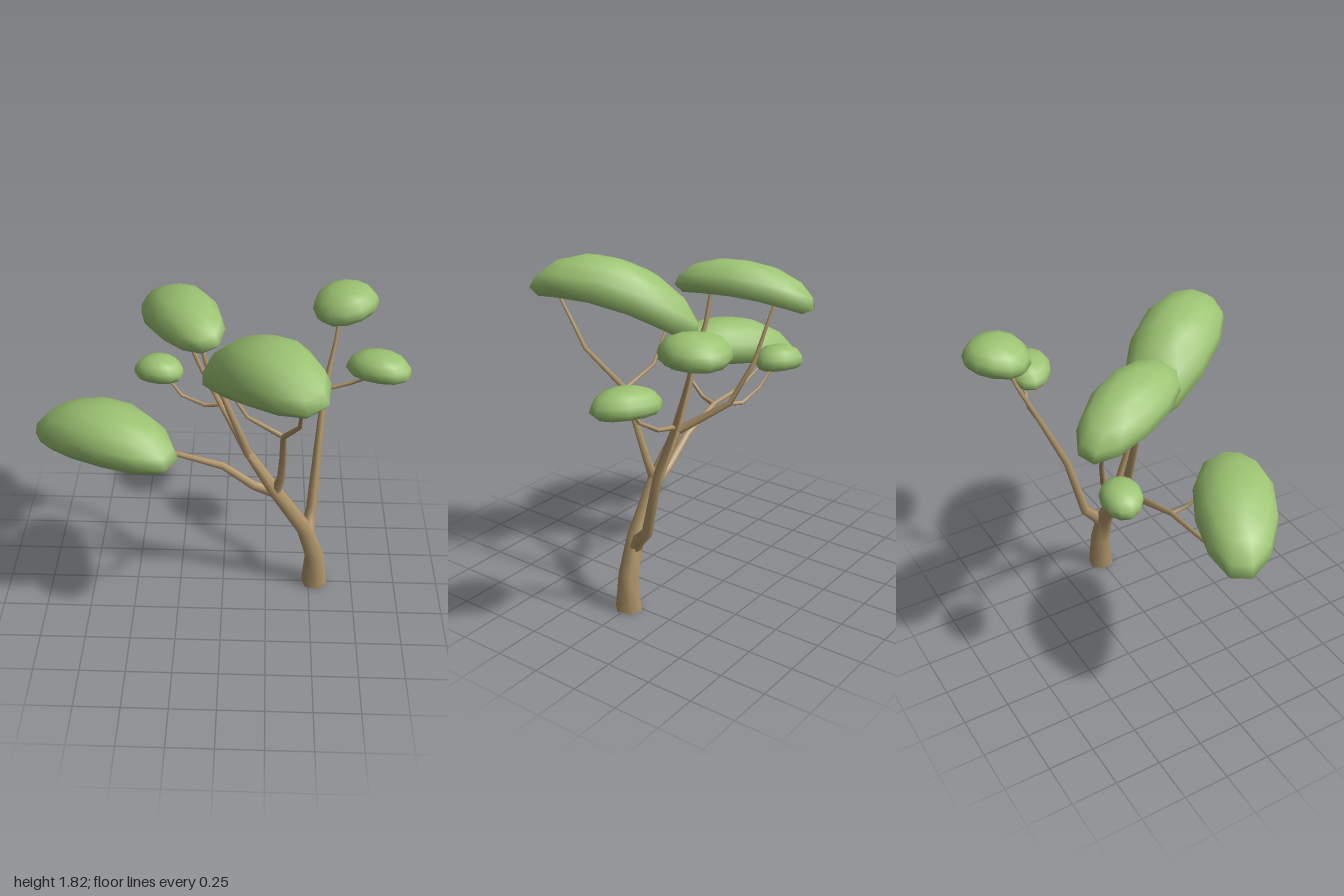
import * as THREE from 'three';
import { mergeVertices } from 'three/addons/utils/BufferGeometryUtils.js';

const bark = new THREE.MeshStandardMaterial({ color: 0xb0956a });
bark.name = 'bark';
const leaf = new THREE.MeshStandardMaterial({ color: 0x9cc372 });
leaf.name = 'leafGreen';

// Tapered limb through points [x, y, z, radius], closed at both ends
function limbGeometry(points, sides = 6) {
  const p = points.map(([x, y, z]) => new THREE.Vector3(x, y, z));
  const pos = [], index = [], last = p.length - 1;
  let u = null;
  p.forEach((c, i) => {
    const t = new THREE.Vector3();
    if (i > 0) t.add(c.clone().sub(p[i - 1]).normalize());
    if (i < last) t.add(p[i + 1].clone().sub(c).normalize());
    t.normalize();
    if (!u) u = Math.abs(t.z) > 0.8 ? new THREE.Vector3(1, 0, 0) : new THREE.Vector3(0, 0, 1);
    u = u.clone().addScaledVector(t, -u.dot(t)).normalize();
    const v = t.clone().cross(u);
    for (let j = 0; j < sides; j++) {
      const a = (j / sides) * Math.PI * 2 + 0.26;
      const q = c.clone()
        .addScaledVector(u, Math.cos(a) * points[i][3])
        .addScaledVector(v, Math.sin(a) * points[i][3]);
      pos.push(q.x, q.y, q.z);
    }
  });
  for (let i = 0; i < last; i++) {
    for (let j = 0; j < sides; j++) {
      const a = i * sides + j, b = i * sides + ((j + 1) % sides);
      index.push(a, b, a + sides, b, b + sides, a + sides);
    }
  }
  // End caps get their own vertices so their edges stay sharp
  for (const [ring, flip] of [[0, true], [last, false]]) {
    const start = pos.length / 3;
    pos.push(...pos.slice(ring * sides * 3, (ring + 1) * sides * 3));
    for (let j = 1; j < sides - 1; j++) {
      if (flip) index.push(start, start + j + 1, start + j);
      else index.push(start, start + j, start + j + 1);
    }
  }
  const g = new THREE.BufferGeometry();
  g.setAttribute('position', new THREE.Float32BufferAttribute(pos, 3));
  g.setIndex(index);
  g.computeVertexNormals();
  return g;
}

// Half profile of a leaf cushion: radius and height
const cushionProfile = [
  [0, -1], [0.5, -0.95], [0.86, -0.75], [1, -0.1], [0.95, 0.36], [0.76, 0.76], [0.42, 0.96], [0, 1],
].map(([r, h]) => new THREE.Vector2(r, h));

// Leaf cushion: stretched along dir, tilted by slopes, its long ends drooping
function canopyGeometry({ at, size, dir, slope, top, bottom, droop }) {
  const g0 = new THREE.LatheGeometry(cushionProfile, 12, Math.PI / 12);
  g0.deleteAttribute('normal');
  g0.deleteAttribute('uv');
  const g = mergeVertices(g0, 1e-4);
  const len = Math.hypot(dir[0], dir[1]), c = dir[0] / len, s = dir[1] / len;
  const up = new THREE.Vector3(-slope[0], 1, -slope[1]).normalize();
  const pos = g.attributes.position;
  for (let i = 0; i < pos.count; i++) {
    const x = pos.getX(i), z = pos.getZ(i);
    const h = pos.getY(i) * (pos.getY(i) > 0 ? top : bottom);
    const lx = x * size[0] * 1.025, lz = z * size[1] * 1.025;
    const dx = lx * c - lz * s, dz = lx * s + lz * c;
    const y = slope[0] * dx + slope[1] * dz - droop * (x * x + 0.25 * z * z);
    pos.setXYZ(i, at[0] + dx + h * up.x, at[1] + y + h * up.y, at[2] + dz + h * up.z);
  }
  g.computeVertexNormals();
  return g;
}

const limbs = {
  trunk: [[0.533, 0, 0, 0.075], [0.528, 0.2, 0, 0.057], [0.462, 0.4, 0, 0.049],
    [0.28, 0.68, 0, 0.041], [0.13, 0.91, -0.03, 0.027]],
  // Left limb and its twig
  leftLimb: [[0.485, 0.32, 0, 0.038], [0.487, 0.4, -0.04, 0.036], [0.503, 0.47, -0.11, 0.031],
    [0.525, 0.83, -0.2, 0.023], [0.55, 1.13, -0.33, 0.017], [0.605, 1.38, -0.44, 0.011],
    [0.625, 1.56, -0.5, 0.009]],
  leftTwig: [[0.55, 1.13, -0.33, 0.014], [0.695, 1.165, -0.34, 0.011],
    [0.8, 1.23, -0.31, 0.01], [0.83, 1.31, -0.28, 0.008]],
  // Front limb and its fork
  frontLimb: [[0.285, 0.64, 0, 0.032], [0.318, 0.78, 0.03, 0.023], [0.322, 0.95, 0.09, 0.02],
    [0.318, 1.15, 0.17, 0.017], [0.39, 1.35, 0.37, 0.012], [0.392, 1.63, 0.55, 0.008]],
  frontTwig: [[0.318, 1.15, 0.17, 0.014], [0.13, 1.24, 0.125, 0.011], [0.02, 1.42, 0.12, 0.008]],
  // Upper limbs
  upperLimb: [[0.14, 0.89, -0.025, 0.026], [0, 1.25, -0.045, 0.017],
    [-0.09, 1.45, -0.055, 0.013], [-0.135, 1.64, -0.06, 0.009]],
  backLimb: [[0.14, 0.89, -0.02, 0.024], [-0.02, 1.06, -0.26, 0.017],
    [-0.14, 1.27, -0.33, 0.013], [-0.27, 1.58, -0.37, 0.009]],
  backTwig: [[-0.02, 1.06, -0.26, 0.013], [-0.11, 1.04, -0.28, 0.011],
    [-0.24, 1.09, -0.3, 0.009], [-0.34, 1.21, -0.34, 0.007]],
  // Right limb and its fork
  rightLimb: [[0.27, 0.66, 0, 0.03], [0.17, 0.7, 0, 0.026], [0, 0.83, 0, 0.021],
    [-0.27, 0.92, 0.01, 0.015], [-0.55, 0.925, 0.03, 0.011], [-0.74, 1.0, 0.02, 0.009],
    [-0.79, 1.1, 0.03, 0.007]],
  rightTwig: [[-0.265, 0.915, 0.01, 0.014], [-0.28, 0.94, 0.1, 0.011],
    [-0.3, 1.02, 0.2, 0.009], [-0.315, 1.13, 0.24, 0.007]],
};

const canopies = {
  rightCanopy: { at: [-0.613, 1.18, 0.165], size: [0.427, 0.208], dir: [0.87, 0.49],
    slope: [0.1, 0], top: 0.125, bottom: 0.105, droop: 0.105 },
  backCanopy: { at: [-0.222, 1.66, -0.21], size: [0.369, 0.173], dir: [0.443, 0.896],
    slope: [0.24, 0.04], top: 0.115, bottom: 0.075, droop: 0.07 },
  frontCanopy: { at: [0.208, 1.66, 0.312], size: [0.438, 0.214], dir: [0.571, 0.821],
    slope: [0.3, 0.17], top: 0.135, bottom: 0.1, droop: 0.14 },
  leftCanopy: { at: [0.652, 1.575, -0.52], size: [0.18, 0.169], dir: [0.7, -0.7],
    slope: [0.12, -0.06], top: 0.09, bottom: 0.06, droop: 0.03 },
  lowLeftCanopy: { at: [0.83, 1.32, -0.262], size: [0.177, 0.124], dir: [0.92, 0.39],
    slope: [0.03, 0], top: 0.08, bottom: 0.045, droop: 0.02 },
  lowBackCanopy: { at: [-0.365, 1.235, -0.345], size: [0.139, 0.107], dir: [0.95, 0.3],
    slope: [0.04, 0], top: 0.07, bottom: 0.05, droop: 0.02 },
};

export function createModel() {
  const tree = new THREE.Group();
  tree.name = 'tree';
  const add = (name, geometry, material) => {
    const mesh = new THREE.Mesh(geometry, material);
    mesh.name = name;
    tree.add(mesh);
  };
  for (const [name, points] of Object.entries(limbs)) add(name, limbGeometry(points), bark);
  for (const [name, spec] of Object.entries(canopies)) add(name, canopyGeometry(spec), leaf);
  return tree;
}
